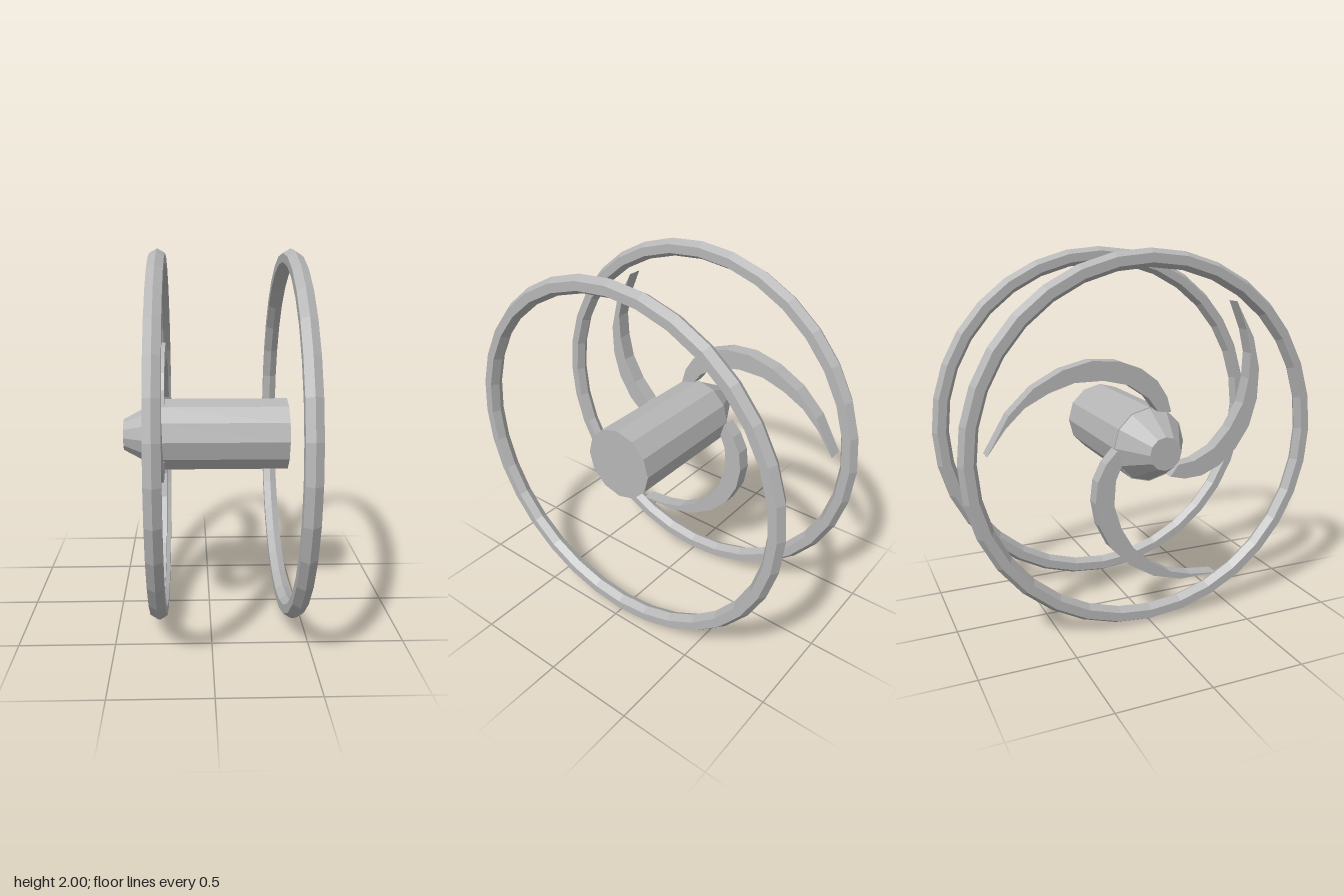
import * as THREE from 'three';

const grey = new THREE.MeshStandardMaterial({ color: 0xb6b6b6, flatShading: true });
grey.name = 'plain grey';

// Curved blade outline, from the hub out to the tip and back
const outer = [[-0.10, 0.175], [-0.075, 0.26], [-0.02, 0.345], [0.07, 0.413], [0.19, 0.458],
  [0.335, 0.468], [0.485, 0.432], [0.63, 0.355], [0.755, 0.235]];
const tip = [0.867, 0.045];
const inner = [[0.77, 0.175], [0.675, 0.265], [0.555, 0.327], [0.425, 0.367], [0.275, 0.367],
  [0.14, 0.335], [0.03, 0.26], [-0.025, 0.185]];

export function createModel() {
  const model = new THREE.Group();
  const add = (name, geometry, x) => {
    const mesh = new THREE.Mesh(geometry, grey);
    mesh.name = name;
    mesh.position.set(x, 1, 0);
    model.add(mesh);
    return mesh;
  };

  // Hub barrel and tapered nose, both along x
  add('hub', new THREE.CylinderGeometry(0.2, 0.2, 0.7, 12).rotateZ(-Math.PI / 2), 0.077);
  add('nose', new THREE.CylinderGeometry(0.197, 0.087, 0.2, 12).rotateZ(-Math.PI / 2), -0.37);

  // Two hexagonal-section rims
  const rim = new THREE.TorusGeometry(0.953, 0.047, 6, 32).rotateY(Math.PI / 2);
  add('rightRim', rim, -0.273);
  add('leftRim', rim, 0.427);

  // Three swept blades
  const shape = new THREE.Shape([...outer, tip, ...inner].map(p => new THREE.Vector2(...p)));
  const blade = new THREE.ExtrudeGeometry(shape, { depth: 0.08, bevelEnabled: false }).rotateY(Math.PI / 2);
  for (let i = 0; i < 3; i++) {
    add('blade' + (i + 1), blade, -0.325).rotation.x = i * Math.PI * 2 / 3;
  }
  return model;
}
